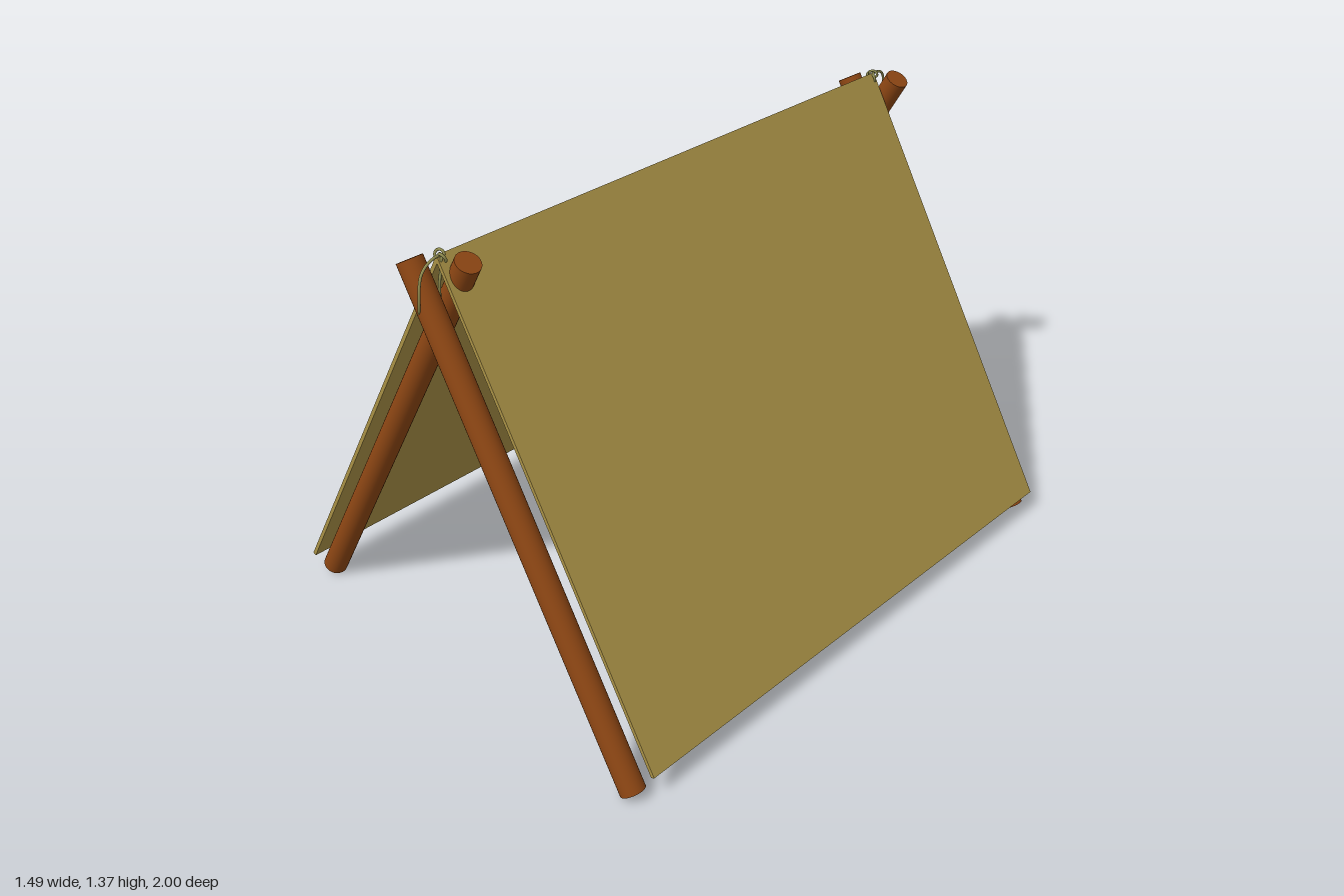
import * as THREE from 'three';

const wood = new THREE.MeshStandardMaterial({ color: 0x8b4513 });
const canvas = new THREE.MeshStandardMaterial({ color: 0xa89045 });
const cord = new THREE.MeshStandardMaterial({ color: 0x8f8c50 });

function addMesh(parent, name, geometry, material) {
  const mesh = new THREE.Mesh(geometry, material);
  mesh.name = name;
  parent.add(mesh);
  return mesh;
}

// Round pole leaning from its foot, across the ridge, to its upper end
function addPole(parent, name, side, z) {
  const foot = new THREE.Vector3(side * 0.7, 0.019, z);
  const tip = new THREE.Vector3(-side * 0.063, 1.337, z);
  const dir = tip.clone().sub(foot);
  const pole = addMesh(parent, name, new THREE.CylinderGeometry(0.037, 0.037, dir.length(), 32), wood);
  pole.position.copy(foot).add(tip).multiplyScalar(0.5);
  pole.quaternion.setFromUnitVectors(new THREE.Vector3(0, 1, 0), dir.normalize());
}

// Crossed pole pair with its lashing, built for the front end
function createEndFrame() {
  const frame = new THREE.Group();
  addPole(frame, 'outerPole', 1, 0.955);
  addPole(frame, 'innerPole', -1, 0.868);

  // Rope loop around the outer pole at the crossing
  const loop = new THREE.CatmullRomCurve3([
    [0, 1.348, 0.905], [0.008, 1.347, 0.95], [0.016, 1.325, 0.984],
    [0.014, 1.25, 0.996], [0, 1.21, 0.985], [-0.02, 1.186, 0.945],
    [-0.016, 1.195, 0.913], [-0.004, 1.27, 0.912],
  ].map((p) => new THREE.Vector3(...p)), true);
  addMesh(frame, 'lashingLoop', new THREE.TubeGeometry(loop, 80, 0.004, 8, true), cord);

  // Knot sitting on the ridge
  const knot = addMesh(frame, 'lashingKnot', new THREE.TorusKnotGeometry(0.013, 0.004, 64, 8, 2, 3), cord);
  knot.position.set(0, 1.346, 0.905);
  return frame;
}

export function createModel() {
  const model = new THREE.Group();
  model.name = 'tent';

  // Folded canvas sheet
  const section = new THREE.Shape([
    [0.743, 0.066], [0, 1.355], [-0.743, 0.066],
    [-0.732, 0.06], [0, 1.331], [0.732, 0.06],
  ].map((p) => new THREE.Vector2(...p)));
  const sheet = new THREE.ExtrudeGeometry(section, { depth: 1.83, bevelEnabled: false });
  sheet.translate(0, 0, -0.912);
  addMesh(model, 'canvasSheet', sheet, canvas);

  // The back frame is the front one turned half round
  ['frontFrame', 'backFrame'].forEach((name, i) => {
    const frame = createEndFrame();
    frame.name = name;
    frame.rotation.y = i * Math.PI;
    model.add(frame);
  });
  return model;
}
